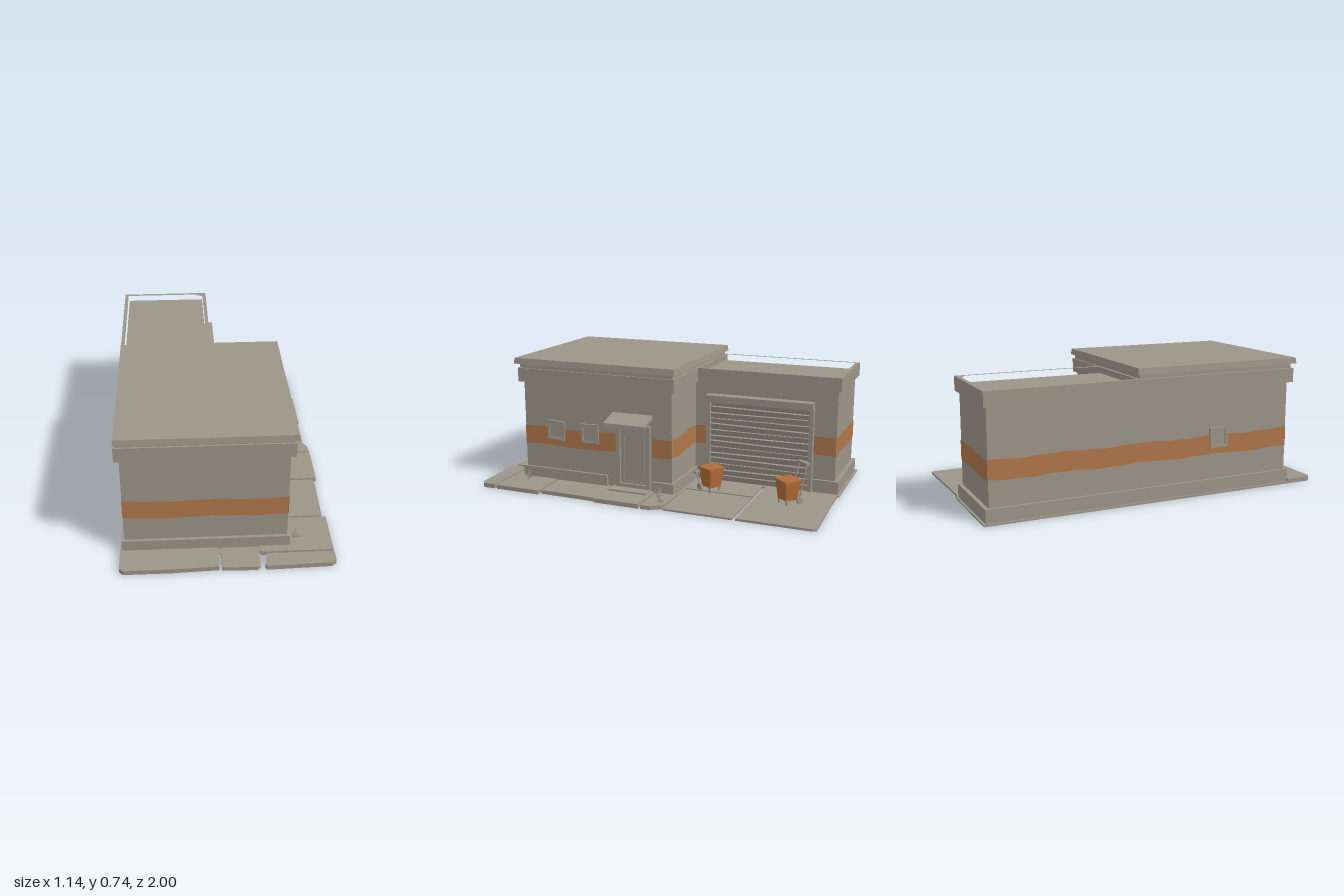
import * as THREE from 'three';

export function createModel() {
  const model = new THREE.Group();
  const mat = (name, color) => {
    const m = new THREE.MeshStandardMaterial({ color });
    m.name = name;
    return m;
  };
  const concrete = mat('concrete', 0x9c9488);
  const paint = mat('orange paint', 0xb0764a);
  paint.side = THREE.DoubleSide;
  const plastic = mat('orange plastic', 0xb06c38);

  const add = (name, geometry, material = concrete, parent = model) => {
    const mesh = new THREE.Mesh(geometry, material);
    mesh.name = name;
    parent.add(mesh);
    return mesh;
  };
  // Box given by its limits
  const box = (name, x0, x1, y0, y1, z0, z1, material = concrete, parent = model) => {
    const mesh = add(name, new THREE.BoxGeometry(x1 - x0, y1 - y0, z1 - z0), material, parent);
    mesh.position.set((x0 + x1) / 2, (y0 + y1) / 2, (z0 + z1) / 2);
    return mesh;
  };
  const outline = (pts) => pts.map(([x, z]) => new THREE.Vector2(x, -z));
  // Flat plate from a ground plan of [x, z] points
  const plate = (name, pts, y, height, hole) => {
    const shape = new THREE.Shape(outline(pts));
    if (hole) shape.holes.push(new THREE.Path(outline(hole)));
    const geo = new THREE.ExtrudeGeometry(shape, { depth: height, bevelEnabled: false });
    geo.rotateX(-Math.PI / 2);
    add(name, geo).position.y = y;
  };
  // Group standing on a wall, its local z pointing outwards
  const onWall = (name, x, y, z, turn) => {
    const g = new THREE.Group();
    g.name = name;
    g.position.set(x, y, z);
    g.rotation.y = turn;
    model.add(g);
    return g;
  };
  const RIGHT = Math.PI / 2, LEFT = -Math.PI / 2, BACK = Math.PI;

  // Front block
  box('frontBlockWalls', -0.545, 0.32, 0, 0.7, -0.12, 0.82);
  box('frontFascia', -0.57, 0.345, 0.602, 0.683, -0.14, 0.845);
  box('roofNeck', -0.555, 0.335, 0.683, 0.708, -0.13, 0.835);
  const roof = box('frontRoof', -0.57, 0.357, 0.708, 0.742, -0.147, 0.865);
  const rp = roof.geometry.attributes.position;
  for (let i = 0; i < rp.count; i++) {
    if (rp.getY(i) > 0) rp.setXYZ(i, rp.getX(i) * 0.99, rp.getY(i), rp.getZ(i) * 0.99);
  }
  roof.geometry.computeVertexNormals();

  // Rear block with sunken roof
  box('rearBlockWalls', -0.545, -0.06, 0, 0.648, -0.965, -0.1);
  plate('rearParapet', [[-0.572, -0.985], [-0.036, -0.985], [-0.036, -0.13], [-0.572, -0.13]], 0.605, 0.08,
    [[-0.55, -0.962], [-0.11, -0.962], [-0.058, -0.93], [-0.058, -0.14], [-0.55, -0.14]]);

  // Plinths, open at the doors
  box('frontPlinth', -0.56, 0.335, 0, 0.085, 0.28, 0.838);
  box('cornerPlinth', -0.05, 0.337, 0, 0.08, -0.135, 0.0);
  box('leftPlinth', -0.56, -0.5, 0, 0.085, -0.985, 0.3);
  box('backPlinth', -0.56, -0.042, 0, 0.085, -0.988, -0.845);
  box('gatePlinth', -0.1, -0.042, 0, 0.08, -0.205, -0.1);

  // Painted band with uneven edges
  const band = (x, z, length, turn, seed) => {
    const n = Math.max(2, Math.round(length / 0.05));
    const geo = new THREE.PlaneGeometry(length, 0.108, n, 1);
    const p = geo.attributes.position;
    for (let i = 0; i < p.count; i++) {
      const u = p.getX(i) * 14 + seed;
      p.setY(i, p.getY(i) + 0.004 * Math.sin(u) + 0.002 * Math.sin(u * 2.7 + p.getY(i) * 30));
    }
    add('paintedBand', geo, paint, onWall('bandMount', x, 0.28, z, turn));
  };
  band(-0.1125, 0.823, 0.865, 0, 1);
  band(-0.548, -0.0725, 1.785, LEFT, 2);
  band(-0.3025, -0.968, 0.485, BACK, 3);
  band(0.323, 0.523, 0.594, RIGHT, 4);
  band(0.323, -0.06, 0.12, RIGHT, 5);
  band(0.13, -0.123, 0.38, BACK, 6);
  band(-0.057, -0.162, 0.085, RIGHT, 7);
  band(-0.057, -0.9, 0.13, RIGHT, 8);

  // Rectangular surround with an opening
  const surround = (name, w, h, rim, depth, parent) => {
    const rect = (a, b) => [[-a, -b], [a, -b], [a, b], [-a, b]].map(([x, y]) => new THREE.Vector2(x, y));
    const shape = new THREE.Shape(rect(w / 2, h / 2));
    shape.holes.push(new THREE.Path(rect(w / 2 - rim, h / 2 - rim)));
    return add(name, new THREE.ExtrudeGeometry(shape, { depth, bevelEnabled: false }), concrete, parent);
  };
  // Windows: two on the right wall, one on the left
  for (const [x, z, turn, tilt] of [[0.32, 0.61, RIGHT, -0.06], [0.32, 0.39, RIGHT, 0.04], [-0.545, 0.365, LEFT, 0.03]]) {
    const win = onWall('window', x, 0.322, z, turn);
    win.rotation.z = tilt;
    surround('windowFrame', 0.112, 0.115, 0.014, 0.014, win);
    box('windowPane', -0.045, 0.045, -0.045, 0.045, 0, 0.005, concrete, win);
  }

  // Entrance door with sloping canopy
  const door = onWall('entranceDoor', 0.32, 0.217, 0.112, RIGHT);
  surround('doorFrame', 0.21, 0.375, 0.024, 0.022, door);
  box('doorLeaf', -0.085, 0.085, -0.17, 0.17, 0, 0.006, concrete, door);
  surround('doorPanel', 0.14, 0.32, 0.012, 0.011, door);
  const side = new THREE.Shape([[0.31, 0.468], [0.44, 0.428], [0.442, 0.408], [0.31, 0.448]]
    .map(([x, y]) => new THREE.Vector2(x, y)));
  add('canopy', new THREE.ExtrudeGeometry(side, { depth: 0.25, bevelEnabled: false })).position.z = -0.005;
  box('doorStep', 0.3, 0.41, 0, 0.033, 0.0, 0.235);

  // Roller gate with battered slats
  box('gateHeader', -0.08, 0.0, 0.495, 0.535, -0.835, -0.2);
  for (const z of [-0.21, -0.825]) box('gateJamb', -0.08, -0.025, 0, 0.5, z - 0.012, z + 0.012);
  for (let i = 0; i < 14; i++) {
    const slat = add('gateSlat', new THREE.BoxGeometry(0.012, 0.036, 0.6));
    slat.position.set(-0.048 + 0.003 * Math.sin(i * 2.3), 0.03 + i * 0.0345, -0.517);
    slat.rotation.set(0.012 * Math.sin(i * 1.9), 0, -0.35);
  }

  // Paving slabs
  box('foundation', -0.57, 0.35, 0, 0.012, -0.15, 0.87);
  box('rearFoundation', -0.57, -0.03, 0, 0.01, -1, -0.15);
  const slabs = [
    [0.026, [-0.57, 0.84], [-0.05, 0.84], [-0.05, 0.99], [-0.3, 1], [-0.55, 1], [-0.57, 0.98]],
    [0.022, [-0.036, 0.84], [0.165, 0.84], [0.165, 0.985], [0.15, 1], [-0.036, 0.995]],
    [0.026, [0.205, 0.9], [0.565, 0.9], [0.565, 0.97], [0.54, 0.99], [0.2, 1], [0.19, 0.985]],
    [0.024, [0.175, 0.84], [0.33, 0.61], [0.565, 0.61], [0.565, 0.885], [0.175, 0.885]],
    [0.022, [0.3, 0.26], [0.55, 0.26], [0.545, 0.597], [0.3, 0.597]],
    [0.025, [0.3, -0.02], [0.565, -0.02], [0.565, 0.25], [0.3, 0.25]],
    [0.022, [0.3, -0.15], [0.52, -0.15], [0.56, -0.09], [0.565, -0.034], [0.3, -0.034]],
    [0.01, [-0.06, -0.55], [0.165, -0.55], [0.165, -0.14], [-0.06, -0.14]],
    [0.01, [0.18, -0.55], [0.54, -0.55], [0.54, -0.155], [0.18, -0.155]],
    [0.012, [-0.06, -0.99], [0.165, -0.99], [0.165, -0.57], [-0.06, -0.57]],
    [0.012, [0.165, -0.99], [0.43, -1], [0.53, -1], [0.54, -0.98], [0.54, -0.57], [0.165, -0.57]],
  ];
  for (const [h, ...pts] of slabs) plate('pavingSlab', pts, 0, h);

  // Wheeled bins on small carts, the handle on local -z
  const makeBin = (x, z, turn, handleTop) => {
    const bin = onWall('bin', x, 0, z, turn);
    const body = new THREE.CylinderGeometry(0.07, 0.054, 0.105, 4).toNonIndexed();
    body.rotateY(Math.PI / 4);
    body.computeVertexNormals();
    add('binBody', body, plastic, bin).position.y = 0.09;
    box('binLid', -0.055, 0.055, 0.14, 0.153, -0.055, 0.055, plastic, bin);
    for (const s of [-1, 1]) {
      const wheel = add('binWheel', new THREE.CylinderGeometry(0.02, 0.02, 0.012, 10), concrete, bin);
      wheel.rotation.z = Math.PI / 2;
      wheel.position.set(s * 0.045, 0.03, -0.05);
      box('binLeg', s * 0.035 - 0.005, s * 0.035 + 0.005, 0.01, 0.05, 0.025, 0.035, concrete, bin);
      const path = new THREE.LineCurve3(new THREE.Vector3(s * 0.04, 0.03, -0.05), new THREE.Vector3(s * 0.035, handleTop, -0.1));
      add('handleBar', new THREE.TubeGeometry(path, 1, 0.005, 6), concrete, bin);
    }
    box('handleGrip', -0.042, 0.042, handleTop - 0.007, handleTop + 0.007, -0.112, -0.09, concrete, bin);
  };
  makeBin(0.2, -0.76, 0.87, 0.23);
  makeBin(0.145, -0.295, 2.6, 0.1);

  // Weeds and rubble in the corners
  for (const [x, z] of [[0.36, 0.775], [0.36, -0.07]]) {
    for (let i = 0; i < 5; i++) {
      const blade = add('weedBlade', new THREE.ConeGeometry(0.006, 0.06, 3));
      blade.position.set(x + 0.008 * i, 0.046, z + 0.012 * Math.sin(i * 2));
      blade.rotation.set(0.3 * Math.sin(i * 2), i, -0.12 * i);
    }
  }
  for (let i = 0; i < 4; i++) {
    const stone = add('rubble', new THREE.DodecahedronGeometry(0.016 + 0.004 * (i % 2)));
    stone.position.set(0.36 + 0.035 * i, 0.026, -0.06 - 0.018 * i);
  }
  return model;
}
